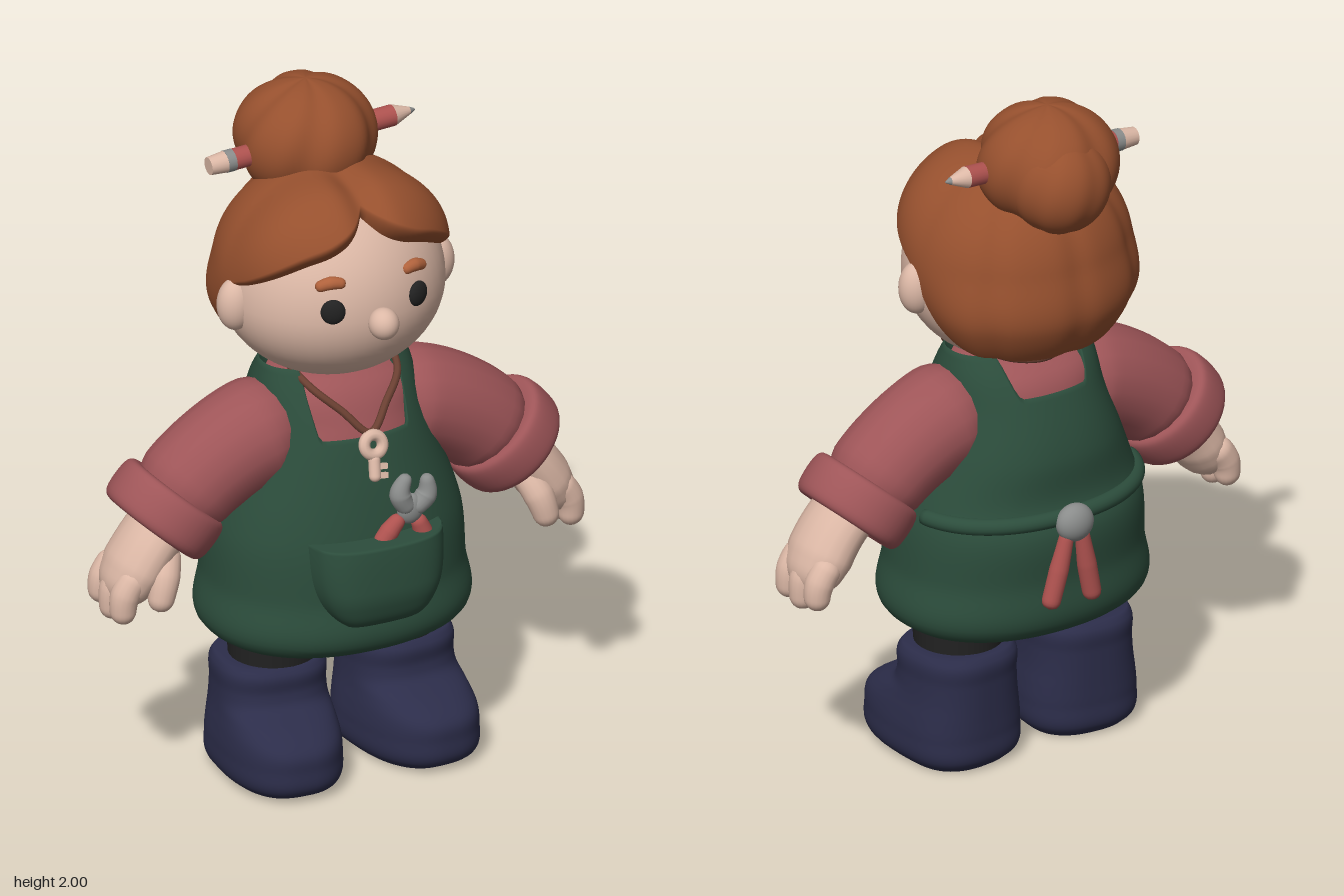
import * as THREE from 'three';
import { mergeVertices } from 'three/addons/utils/BufferGeometryUtils.js';
import { ParametricGeometry } from 'three/addons/geometries/ParametricGeometry.js';

const mat = (name, color) => {
  const m = new THREE.MeshStandardMaterial({ color });
  m.name = name;
  return m;
};
const V = (x, y, z) => new THREE.Vector3(x, y, z);

// Weld seams and poles, then smooth the normals
function smooth(geo) {
  geo.deleteAttribute('uv');
  geo.deleteAttribute('normal');
  const g = mergeVertices(geo, 1e-5);
  g.computeVertexNormals();
  return g;
}
const surface = (fn, nu, nv) => smooth(new ParametricGeometry(fn, nu, nv));

// Smooth lookup through rows of [key, value, value...]
function lookup(rows) {
  const it = new THREE.CubicInterpolant(rows.map(r => r[0]), rows.flatMap(r => r.slice(1)), rows[0].length - 1);
  return t => it.evaluate(THREE.MathUtils.clamp(t, rows[0][0], rows[rows.length - 1][0]));
}
const spow = (s, p) => Math.sign(s) * Math.abs(s) ** p;

// Point on a ring: half width, front depth and back depth at a height
function ringPoint(at, a, y, p, s, out) {
  const [rx, zf, zb] = at(y);
  const c = spow(Math.cos(a), p);
  return out.set(spow(Math.sin(a), p) * rx * s, y, c * (c > 0 ? zf : zb) * s);
}
// Stack of rounded rings [y, halfWidth, front, back], closed or with a rolled lip
function loft(rows, { p = 1, scale = 1, top = null, nu = 64, nv = 50 } = {}) {
  const at = lookup(rows), y0 = rows[0][0], y1 = rows[rows.length - 1][0];
  return surface((u, v, out) => {
    const a = u * Math.PI * 2 - Math.PI, end = top ? top(a) : y1;
    const k = Math.max(0, (v - 0.9) / 0.1);
    const s = v < 0.1 ? v / 0.1 : 1 - k * (top ? 0.12 : 1);
    const y = y0 + (end - y0) * THREE.MathUtils.clamp((v - 0.1) / 0.8, 0, 1);
    ringPoint(at, a, y, p, s * scale, out);
    if (top) out.y -= 0.05 * k;
  }, nu, nv);
}
// Round-ended tube along points with varying radius, optionally wider in z
function limb(points, radii, kz = 1, seg = 28) {
  const curve = new THREE.CatmullRomCurve3(points), len = curve.getLength();
  const geo = new THREE.TubeGeometry(curve, seg, 1, 18), pos = geo.attributes.position, q = V();
  for (let i = 0; i < pos.count; i++) {
    const u = Math.floor(i / 19) / seg, c = curve.getPointAt(u);
    const f = u * (radii.length - 1), j = Math.min(Math.floor(f), radii.length - 2);
    let r = THREE.MathUtils.lerp(radii[j], radii[j + 1], f - j);
    const d = Math.min(u, 1 - u) * len;
    if (d < r) r *= Math.sqrt(Math.max(0, 1 - (1 - d / r) ** 2));
    q.fromBufferAttribute(pos, i).sub(c).multiplyScalar(r);
    pos.setXYZ(i, c.x + q.x, c.y + q.y, c.z + q.z * kz);
  }
  return smooth(geo);
}

export function createModel() {
  const M = {
    skin: mat('skin', 0xdcb8a6), hair: mat('hair', 0x96502e), shirt: mat('shirt', 0x9e5558),
    apron: mat('apron', 0x2c4d3c), boot: mat('boot', 0x2c2d4a), black: mat('black', 0x222222),
    metal: mat('metal', 0x8a8c8b), red: mat('red', 0xae524f), cord: mat('cord', 0x6b4032), brow: mat('brow', 0xb0623c),
  };
  const model = new THREE.Group();
  model.name = 'gardener';
  const add = (name, geo, m, parent = model) => {
    const mesh = new THREE.Mesh(geo, m);
    mesh.name = name;
    parent.add(mesh);
    return mesh;
  };
  const ball = (name, m, c, r, parent) => {
    const mesh = add(name, new THREE.SphereGeometry(1, 28, 20), m, parent);
    mesh.position.set(...c);
    mesh.scale.set(...r);
    return mesh;
  };
  const step = THREE.MathUtils.smoothstep;

  // Apron and shirt share one body outline
  const body = [[0.42, 0.35, 0.28, 0.26], [0.445, 0.382, 0.312, 0.288], [0.6, 0.377, 0.312, 0.3], [0.74, 0.367, 0.305, 0.305],
    [0.82, 0.345, 0.292, 0.275], [0.95, 0.295, 0.262, 0.268], [1.08, 0.25, 0.22, 0.228], [1.18, 0.232, 0.165, 0.18], [1.24, 0.215, 0.125, 0.13]];
  const bodyAt = lookup(body), P = 0.9;
  const neckline = a => {
    const f = Math.abs(a), b = Math.PI - f;
    return 1.24 - 0.18 * (1 - step(f, 0.5, 0.75)) - 0.11 * (1 - step(b, 0.4, 0.68));
  };
  add('apron', loft(body, { p: P, top: neckline, nu: 128, nv: 60 }), M.apron);
  add('shirt', loft(body.slice(3, 8).concat([[1.215, 0.16, 0.12, 0.12]]), { p: P, scale: 0.95 }), M.shirt);
  add('neck', new THREE.CylinderGeometry(0.1, 0.11, 0.12, 32), M.skin).position.y = 1.2;

  // Bulging front pocket with a flat top
  add('pocket', surface((u, v, out) => {
    const s = 2 * u - 1, t = Math.min(1, v / 0.85), k = Math.max(0, (v - 0.85) / 0.15);
    const x = 0.205 * s * Math.sqrt(1 - (1 - t) ** 3 * 0.75), y = 0.525 + 0.255 * t;
    const [rx, zf] = bodyAt(y);
    const skin = zf * (1 - (Math.abs(x) / rx) ** (2 / P)) ** (P / 2);
    const bulge = 0.09 * Math.sqrt(1 - s ** 6) * Math.sqrt(1 - (1 - Math.min(1, t * 2)) ** 2);
    out.set(x, y, skin - 0.01 + bulge * (1 - k));
  }, 40, 40), M.apron);

  // Waist tie around the back
  const tie = [];
  for (let i = 0; i <= 24; i++) tie.push(ringPoint(bodyAt, 1.7 + (Math.PI * 2 - 3.4) * i / 24, 0.785, P, 0.99, V()));
  add('waistTie', limb(tie, [0.024, 0.024], 1, 60), M.apron);

  for (const s of [1, -1]) {
    const side = s > 0 ? 'left' : 'right';
    const L = (x, y, z) => V(x * s, y, z);
    // Sleeve and rolled cuff
    add(side + 'Sleeve', limb([L(0.1, 1.04, 0.01), L(0.24, 1.035, 0.01), L(0.4, 0.96, 0.01), L(0.56, 0.82, 0.01)],
      [0.14, 0.155, 0.15, 0.145, 0.12]), M.shirt);
    const prof = [[0, 0.01], [0.085, -0.01], [0.11, -0.052], [0.145, -0.064], [0.166, -0.04], [0.168, 0.03], [0.152, 0.062], [0.1, 0.06]];
    const curve = new THREE.SplineCurve(prof.map(p => new THREE.Vector2(...p)));
    const cuff = add(side + 'Cuff', smooth(new THREE.LatheGeometry(curve.getPoints(36), 40)), M.shirt);
    cuff.position.set(0.527 * s, 0.855, 0.01);
    cuff.quaternion.setFromUnitVectors(V(0, 1, 0), V(-0.664 * s, 0.747, 0).normalize());
    // Hand
    const hand = new THREE.Group();
    hand.name = side + 'Hand';
    model.add(hand);
    add('palm', limb([L(0.49, 0.89, 0.025), L(0.6, 0.77, 0.035), L(0.695, 0.615, 0.03)], [0.075, 0.078, 0.08, 0.06], 1.4), M.skin, hand);
    [0.095, 0.03, -0.04].forEach((z, i) => add('finger', limb([L(0.645, 0.73, z), L(0.692, 0.66, z),
      L(0.7, [0.575, 0.565, 0.585][i], z)], [0.042, 0.042, 0.034]), M.skin, hand));
    add('thumb', limb([L(0.55, 0.78, 0.07), L(0.585, 0.7, 0.125), L(0.61, 0.61, 0.14)], [0.042, 0.044, 0.034]), M.skin, hand);

    // Trouser leg and boot
    add(side + 'Trouser', new THREE.CylinderGeometry(0.132, 0.125, 0.15, 32), M.black).position.set(0.185 * s, 0.385, 0.005);
    const boot = add(side + 'Boot', loft([[0, 0.14, 0.25, 0.13], [0.025, 0.165, 0.292, 0.155], [0.1, 0.173, 0.305, 0.16], [0.155, 0.168, 0.293, 0.16],
      [0.195, 0.162, 0.235, 0.16], [0.225, 0.159, 0.168, 0.16], [0.265, 0.157, 0.146, 0.16], [0.325, 0.156, 0.145, 0.16], [0.345, 0.145, 0.13, 0.145]], { p: 0.8 }), M.boot);
    boot.position.x = 0.198 * s;
    boot.rotation.y = 0.1 * s;

    // Ear, eye and brow
    ball(side + 'Ear', M.skin, [0.312 * s, 1.45, 0.025], [0.054, 0.078, 0.05]);
    ball(side + 'Eye', M.black, [0.132 * s, 1.49, 0.27], [0.035, 0.037, 0.018]).rotation.y = 0.4 * s;
    add(side + 'Brow', limb([L(0.088, 1.565, 0.262), L(0.13, 1.571, 0.252), L(0.17, 1.557, 0.235)], [0.015, 0.019, 0.015]), M.brow);
  }

  // Head with a taller brow, and nose
  const skull = new THREE.SphereGeometry(1, 48, 36), sp = skull.attributes.position;
  for (let i = 0; i < sp.count; i++) sp.setXYZ(i, sp.getX(i) * 0.322, sp.getY(i) * (sp.getY(i) > 0 ? 0.32 : 0.262), sp.getZ(i) * 0.3);
  add('head', smooth(skull), M.skin).position.y = 1.452;
  ball('nose', M.skin, [0, 1.448, 0.322], [0.043, 0.046, 0.046]);

  // Hair cap with a rounded rim: two puffed lobes parted in front, lower behind the ears
  const rim = lookup([[0, 0.62], [0.2, 0.84], [0.4, 0.97], [0.7, 1.1], [1.2, 1.4], [1.45, 1.55], [1.75, 2.02], [2.1, 2.22], [Math.PI, 2.31]]);
  add('hair', surface((u, v, out) => {
    const a = Math.PI - u * Math.PI * 2, f = Math.abs(a);
    const k = Math.max(0, (v - 0.75) / 0.25) * Math.PI / 2;
    const th = rim(f)[0] * Math.min(1, v / 0.75) + 0.1 * Math.sin(k);
    const x = Math.sin(th) * Math.sin(a), z = Math.sin(th) * Math.cos(a);
    const part = 0.1 * Math.exp(-((x / 0.13) ** 2)) * step(z, -0.1, 0.45);
    const locks = 0.028 * Math.abs(Math.cos(a * 4)) ** 8 * step(f, 1.7, 2.1) * Math.sin(th);
    const puff = 0.11 * step(z, 0, 0.5) * Math.max(0, Math.sin(2 * th));
    const full = 0.1 * step(th, 1.4, 1.95) * step(f, 1.5, 2.2);
    const r = (1 - part - locks + puff + full) * (1 - 0.28 * (1 - Math.cos(k)));
    out.set(x * 0.332 * r, 1.5 + Math.cos(th) * 0.31 * r, z * (0.3 + 0.035 * step(z, 0, 0.6)) * r - 0.02);
  }, 128, 64), M.hair);

  // Coiled bun with a smaller knot behind
  const bun = (name, c, r, depth) => add(name, surface((u, v, out) => {
    const a = -u * Math.PI * 2, th = v * Math.PI, w = Math.sin(th);
    const k = 1 - depth * w * Math.abs(Math.cos(a * 2.5 + th * 0.7)) ** 5;
    out.set(w * Math.sin(a) * r[0] * k, Math.cos(th) * r[1] * k, w * Math.cos(a) * r[2] * k);
  }, 80, 40), M.hair).position.set(...c);
  bun('bun', [0, 1.825, -0.16], [0.205, 0.175, 0.2], 0.08);
  bun('bunKnot', [0.02, 1.8, -0.25], [0.145, 0.145, 0.14], 0.04);

  // Pencil through the bun
  const pencil = new THREE.Group();
  pencil.name = 'pencil';
  pencil.position.set(0, 1.823, -0.135);
  pencil.rotation.z = -Math.PI / 2 + 0.055;
  model.add(pencil);
  for (const [name, m, y0, y1, r0, r1] of [['eraser', M.skin, -0.315, -0.265, 0.026, 0.031], ['ferrule', M.metal, -0.265, -0.24, 0.032, 0.032],
    ['shaft', M.red, -0.24, 0.26, 0.031, 0.031], ['point', M.skin, 0.26, 0.312, 0.031, 0.011], ['lead', M.metal, 0.312, 0.328, 0.011, 0.003]])
    add(name, new THREE.CylinderGeometry(r1, r0, y1 - y0, 20), m, pencil).position.y = (y0 + y1) / 2;

  // Necklace cord and key
  const half = [[0.07, 1.14, 0.2], [0.135, 1.2, 0.14], [0.15, 1.235, 0.02], [0.09, 1.225, -0.12]];
  const loop = [V(0, 1.075, 0.24), ...half.map(p => V(...p)), V(0, 1.215, -0.15), ...half.slice().reverse().map(p => V(-p[0], p[1], p[2]))];
  add('necklace', new THREE.TubeGeometry(new THREE.CatmullRomCurve3(loop, true), 80, 0.011, 8, true), M.cord);
  const key = new THREE.Group();
  key.name = 'key';
  key.position.set(0, 1.045, 0.258);
  key.rotation.set(-0.32, 0, -0.1);
  model.add(key);
  add('bow', new THREE.TorusGeometry(0.028, 0.017, 10, 28), M.skin, key);
  add('stem', limb([V(0, -0.025, 0), V(0, -0.105, 0)], [0.017, 0.017]), M.skin, key);
  for (const y of [-0.062, -0.088]) add('tooth', new THREE.BoxGeometry(0.034, 0.016, 0.018), M.skin, key).position.set(0.02, y, 0);

  // Hand tools with red grips: one in the pocket, one hung on the tie
  const tool = (name, pos, tilt, jaws, grip, spread) => {
    const g = new THREE.Group();
    g.name = name;
    g.position.set(...pos);
    g.rotation.z = tilt;
    model.add(g);
    ball('pivot', M.metal, [0, 0, 0], jaws ? [0.04, 0.045, 0.025] : [0.058, 0.056, 0.042], g);
    for (const s of [1, -1]) {
      if (jaws) add('jaw', limb([V(0, -0.01, 0), V(0.042 * s, 0.045, 0), V(0.03 * s, 0.105, 0)], [0.026, 0.031, 0.016]), M.metal, g);
      add('grip', limb([V(0.022 * s, -0.02, 0), V(spread * 0.6 * s, -grip * 0.5, 0), V(spread * s, -grip, 0)], [0.02, 0.028, 0.027]), M.red, g);
    }
  };
  tool('pocketTool', [0.09, 0.85, 0.308], -0.2, true, 0.12, 0.08);
  tool('backTool', [0.015, 0.775, -0.315], 0.05, false, 0.25, 0.075);
  return model;
}
